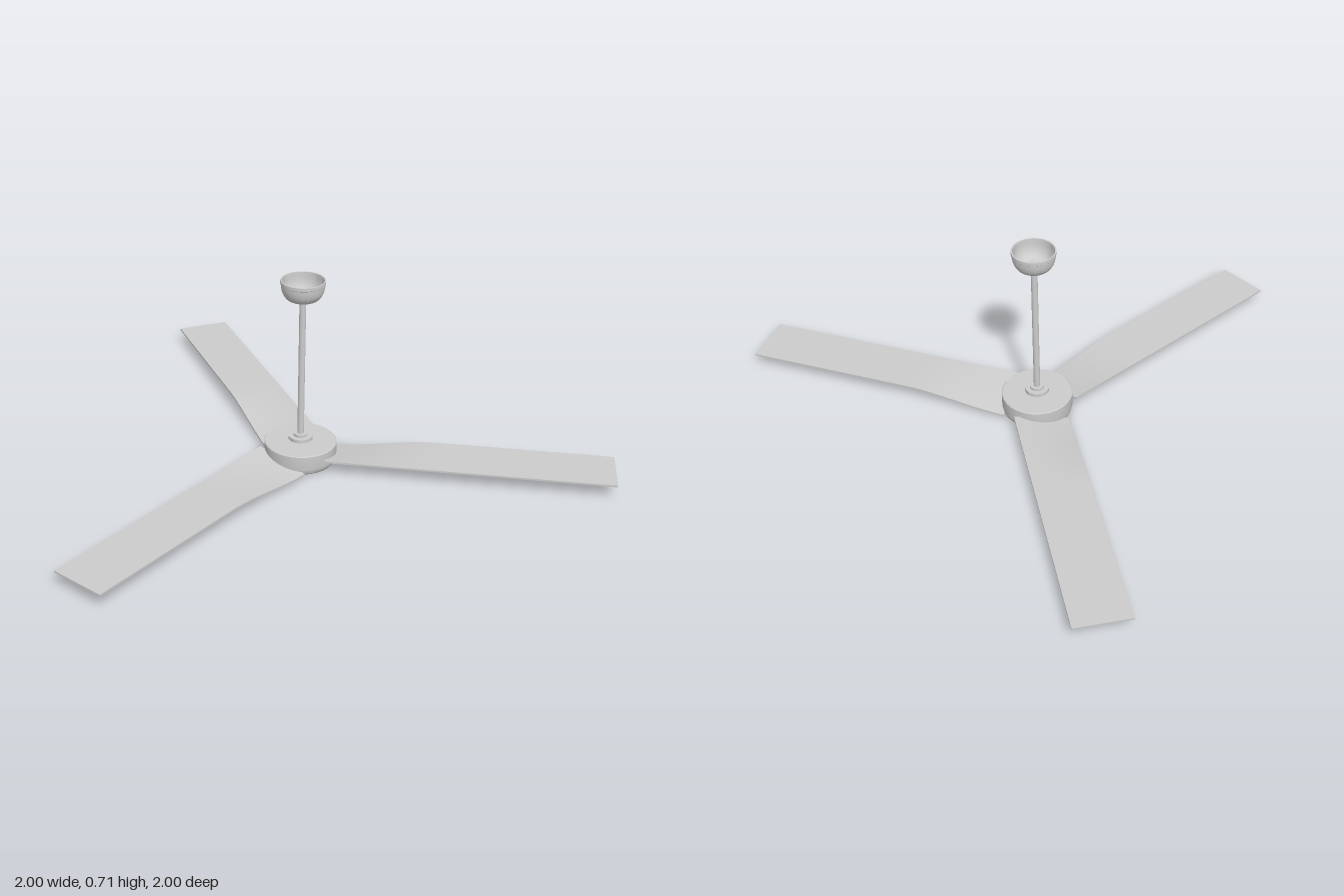
import * as THREE from 'three';
import { toCreasedNormals } from 'three/addons/utils/BufferGeometryUtils.js';

const material = new THREE.MeshStandardMaterial({ color: 0xcccccc });

// Turned part from [radius, height] pairs, listed from bottom to top
function turned(name, profile, segments = 48) {
  const points = profile.map(([r, y]) => new THREE.Vector2(r, y));
  const geometry = toCreasedNormals(new THREE.LatheGeometry(points, segments), 0.6);
  const mesh = new THREE.Mesh(geometry, material);
  mesh.name = name;
  return mesh;
}

// Flat board whose trailing edge sweeps down towards the hub
function bladeGeometry() {
  const start = 0.1, end = 1.137, front = 0.107, back = -0.098, thickness = 0.007;
  const geometry = new THREE.BoxGeometry(end - start, thickness, front - back, 48, 1, 10);
  geometry.translate((start + end) / 2, 0.053, (front + back) / 2);
  const p = geometry.attributes.position;
  for (let i = 0; i < p.count; i++) {
    const bend = 1 - THREE.MathUtils.smoothstep(p.getX(i), 0.09, 0.5);
    const across = (front - p.getZ(i)) / (front - back);
    p.setY(i, p.getY(i) - 0.042 * bend * across);
  }
  geometry.computeVertexNormals();
  return geometry;
}

export function createModel() {
  const model = new THREE.Group();
  model.name = 'ceilingFan';

  const fan = new THREE.Group();
  fan.name = 'fan';
  fan.position.set(0.12, 0, -0.125);
  model.add(fan);

  // Motor housing with a softened lower rim
  fan.add(turned('motorHousing', [
    [0, 0], [0.118, 0], [0.125, 0.003], [0.13, 0.01], [0.133, 0.025],
    [0.133, 0.077], [0.13, 0.08], [0, 0.08],
  ], 64));

  // Stepped collar at the foot of the rod
  fan.add(turned('rodCollar', [
    [0.03, 0.078], [0.03, 0.087], [0.045, 0.087], [0.045, 0.1],
    [0.026, 0.1], [0.026, 0.109], [0, 0.109],
  ], 32));

  // Hanging rod
  const rod = new THREE.Mesh(new THREE.CylinderGeometry(0.012, 0.012, 0.55, 24), material);
  rod.name = 'hangingRod';
  rod.position.y = 0.375;
  fan.add(rod);

  // Hollow canopy bowl: outer wall up, rim, inner wall down
  const canopy = [[0.012, 0.638], [0.038, 0.638], [0.043, 0.641]];
  const inner = [];
  for (let i = 1; i <= 8; i++) {
    const a = (i / 8) * Math.PI / 2;
    const r = 0.043 + 0.035 * Math.sin(a);
    const y = 0.7 - 0.059 * Math.cos(a);
    canopy.push([r, y]);
    inner.unshift([r - 0.004, y + 0.003]);
  }
  canopy.push([0.08, 0.702], [0.08, 0.714], [0.075, 0.714], ...inner, [0.038, 0.643], [0.012, 0.643]);
  fan.add(turned('canopy', canopy));

  // Ring nut holding the rod inside the canopy
  fan.add(turned('rodNut', [[0.025, 0.642], [0.025, 0.652], [0, 0.652]], 24));

  // Three blades
  const blade = bladeGeometry();
  for (let i = 0; i < 3; i++) {
    const mesh = new THREE.Mesh(blade, material);
    mesh.name = `blade${i + 1}`;
    mesh.rotation.y = Math.PI / 4 + (i * Math.PI * 2) / 3;
    fan.add(mesh);
  }

  return model;
}
